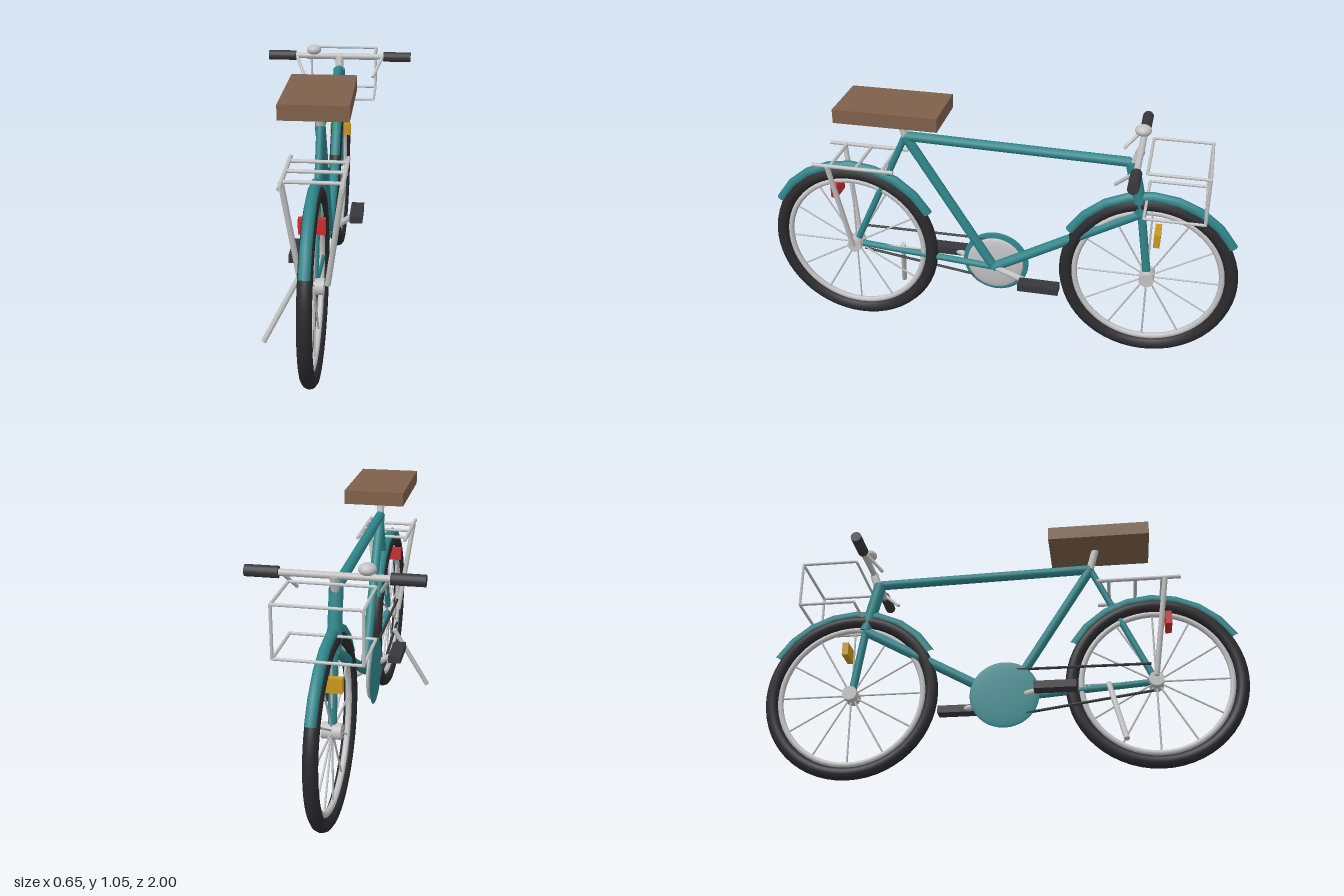
import * as THREE from 'three';

const mat = (name, color) => Object.assign(new THREE.MeshStandardMaterial({ color }), { name });

export function createModel() {
  const teal = mat('teal paint', 0x2f868b);
  const metal = mat('light metal', 0xc2c2c2);
  const rubber = mat('tyre rubber', 0x2a2a2d);
  const grip = mat('grip plastic', 0x38383c);
  const leather = mat('saddle brown', 0x7f604a);
  const red = mat('red reflector', 0xcc2d30);
  const amber = mat('amber reflector', 0xc9971f);

  const bike = new THREE.Group();
  bike.name = 'bicycle';
  const V = (p) => new THREE.Vector3(...p);

  function add(name, geometry, material, pos = [0, 0, 0], parent = bike) {
    const mesh = new THREE.Mesh(geometry, material);
    mesh.name = name;
    mesh.position.set(...pos);
    parent.add(mesh);
    return mesh;
  }
  // Round bar between two points
  function bar(name, a, b, r, material, parent = bike, sides = 12) {
    const A = V(a), B = V(b), d = B.clone().sub(A);
    const mesh = add(name, new THREE.CylinderGeometry(r, r, d.length(), sides), material,
      A.clone().add(B).multiplyScalar(0.5).toArray(), parent);
    mesh.quaternion.setFromUnitVectors(new THREE.Vector3(0, 1, 0), d.normalize());
    return mesh;
  }
  const box = (name, size, pos, material) => add(name, new THREE.BoxGeometry(...size), material, pos);
  function ellipsoid(name, radii, pos, material) {
    add(name, new THREE.SphereGeometry(1, 32, 20), material, pos).scale.set(...radii);
  }

  // Wheels with mudguards
  const HUB_Y = 0.368, HUB_Z = 0.632;
  for (const [end, s] of [['rear', 1], ['front', -1]]) {
    const wheel = new THREE.Group();
    wheel.name = end + 'Wheel';
    wheel.position.set(0, HUB_Y, s * HUB_Z);
    bike.add(wheel);
    const ring = (name, R, r, material) =>
      add(name, new THREE.TorusGeometry(R, r, 10, 56).rotateY(Math.PI / 2), material, [0, 0, 0], wheel);
    ring('tyre', 0.341, 0.027, rubber);
    ring('rim', 0.304, 0.012, metal);
    bar('hub', [-0.037, 0, 0], [0.037, 0, 0], 0.031, metal, wheel, 20);
    for (let i = 0; i < 12; i++) {
      const a = (i * Math.PI) / 6;
      bar('spoke', [0, 0, 0], [0, 0.3 * Math.sin(a), 0.3 * Math.cos(a)], 0.004, metal, wheel, 6);
    }
    const start = THREE.MathUtils.degToRad(29);
    const guard = new THREE.TorusGeometry(0.375, 0.021, 8, 8, Math.PI - 2 * start)
      .rotateZ(start).rotateY(Math.PI / 2);
    const guardMaterial = teal;
    add('mudguard', guard, guardMaterial, [0, 0, 0], wheel);
  }

  // Frame
  const crank = [0, 0.323, 0.018], seatTop = [0, 0.905, 0.385];
  const rearHub = [0, HUB_Y, HUB_Z], frontHub = [0, HUB_Y, -HUB_Z];
  const headTop = [0, 0.89, -0.535], headLow = [0, 0.665, -0.588];
  bar('seatTube', crank, seatTop, 0.02, teal);
  bar('topTube', seatTop, [0, 0.887, -0.53], 0.02, teal);
  bar('downTube', crank, headLow, 0.021, teal);
  bar('headTube', headTop, headLow, 0.027, teal);
  bar('fork', headLow, frontHub, 0.017, teal);
  bar('chainStay', crank, rearHub, 0.014, teal);
  bar('seatStay', seatTop, rearHub, 0.014, teal);

  // Saddle
  bar('seatPost', [0, 0.89, 0.38], [0, 1.0, 0.41], 0.016, metal);
  box('saddle', [0.25, 0.057, 0.425], [0, 1.022, 0.427], leather);

  // Handlebar
  const BAR_Y = 0.943, BAR_Z = -0.566;
  bar('stem', [0, 0.86, -0.54], [0, BAR_Y, BAR_Z], 0.018, metal);
  bar('handlebar', [-0.21, BAR_Y, BAR_Z], [0.21, BAR_Y, BAR_Z], 0.013, metal);
  ellipsoid('bell', [0.033, 0.023, 0.033], [-0.117, 0.972, -0.562], metal);

  // Chain set
  ellipsoid('chainring', [0.016, 0.122, 0.122], [-0.032, crank[1], crank[2]], metal);
  ellipsoid('chainGuard', [0.008, 0.143, 0.143], [-0.047, crank[1], crank[2]], teal);
  bar('upperChain', [-0.046, 0.429, 0.615], [-0.046, 0.432, 0.03], 0.006, grip, bike, 6);
  bar('lowerChain', [-0.046, 0.311, 0.615], [-0.046, 0.235, 0.07], 0.006, grip, bike, 6);

  // Paired parts on both sides
  for (const s of [-1, 1]) {
    bar('grip', [s * 0.2, BAR_Y, BAR_Z], [s * 0.324, BAR_Y, BAR_Z], 0.022, grip, bike, 16);
    bar('brakeLever', [s * 0.193, 0.938, -0.556], [s * 0.155, 0.866, -0.487], 0.007, metal);
    bar('crankArm', crank, [s * 0.1, 0.323, 0.018 - s * 0.2], 0.013, metal);
    box('pedal', [0.056, 0.032, 0.17], [s * 0.107, 0.323, 0.016 - s * 0.212], grip);
    bar('rackRail', [s * 0.107, 0.787, 0.41], [s * 0.107, 0.787, 0.755], 0.008, metal);
    bar('rackStrut', [s * 0.107, 0.787, 0.692], [s * 0.049, 0.375, HUB_Z], 0.011, metal);
  }
  for (const z of [0.46, 0.57, 0.68])
    bar('rackCrossbar', [-0.107, 0.787, z], [0.107, 0.787, z], 0.007, metal);

  // Wire basket
  const W = 0.156, zNear = -0.605, zFar = -0.838, yLow = 0.73, yTop = 0.924;
  for (const y of [yLow, yTop]) {
    for (const z of [zNear, zFar]) bar('basketCrossWire', [-W, y, z], [W, y, z], 0.006, metal, bike, 8);
    for (const x of [-W, W]) bar('basketSideWire', [x, y, zNear], [x, y, zFar], 0.006, metal, bike, 8);
  }
  for (const x of [-W, W]) bar('basketUpright', [x, yLow, zFar], [x, yTop, zFar], 0.006, metal, bike, 8);

  // Reflectors and kickstand
  box('rearReflector', [0.096, 0.057, 0.026], [0, 0.634, 0.698], red);
  box('frontReflector', [0.096, 0.057, 0.026], [0, 0.567, -0.66], amber);
  bar('kickstand', [-0.06, 0.345, 0.44], [-0.213, 0.053, 0.497], 0.011, metal);

  return bike;
}
